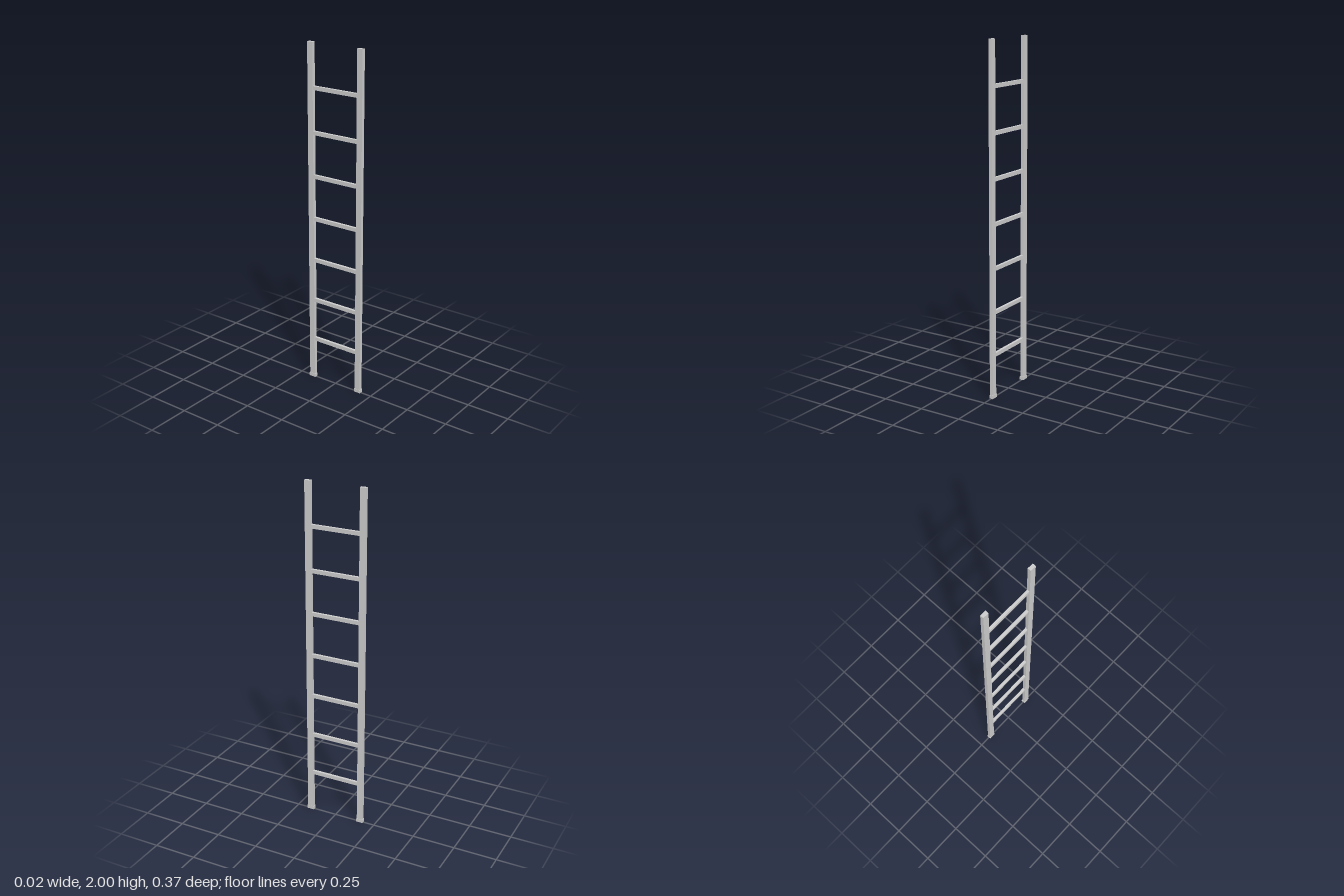
import * as THREE from 'three';

export function createModel() {
  const model = new THREE.Group();
  model.name = 'ladder';
  const material = new THREE.MeshStandardMaterial({ color: 0xcccccc, flatShading: true });

  function addBox(name, [w, h, d], [x, y, z]) {
    const mesh = new THREE.Mesh(new THREE.BoxGeometry(w, h, d), material);
    mesh.name = name;
    mesh.position.set(x, y, z);
    model.add(mesh);
  }

  // Two upright rails, each standing in a slightly wider foot
  for (const [end, side] of [['front', 1], ['back', -1]]) {
    addBox(end + 'Rail', [0.02, 1.997, 0.035], [0, 1.0015, side * 0.162]);
    addBox(end + 'Foot', [0.0235, 0.02, 0.041], [0, 0.01, side * 0.162]);
  }

  // Seven evenly spaced rungs, their ends set into the rails
  for (let i = 1; i <= 7; i++) {
    addBox('rung' + i, [0.016, 0.022, 0.31], [0, 0.252 + (i - 1) * 0.25, 0]);
  }

  return model;
}
